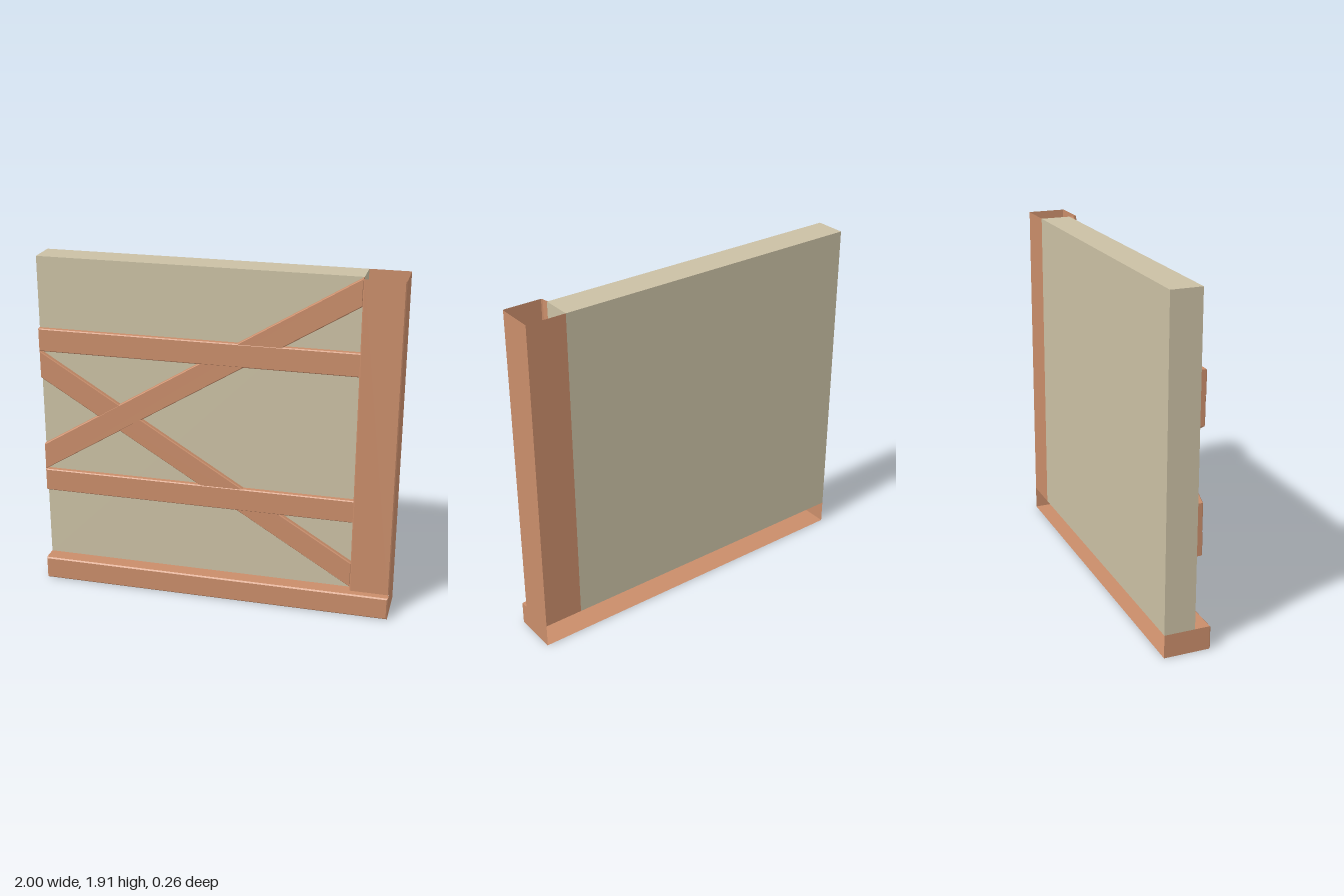
import * as THREE from 'three';

const timber = new THREE.MeshStandardMaterial({ color: 0xc98d6a, side: THREE.DoubleSide, flatShading: true });
const plaster = new THREE.MeshStandardMaterial({ color: 0xcac0a4, side: THREE.DoubleSide, flatShading: true });

const TOP = 1.91, SILL = 0.13, BACK = -0.13, WALL_FRONT = 0.04, POST_X = 0.78, POST_FRONT = 0.085;
const MIRROR_Y = 2.05; // the bracing is mirrored about y = MIRROR_Y / 2

function mesh(name, geometry, material) {
  const m = new THREE.Mesh(geometry, material);
  m.name = name;
  return m;
}

// Surface from a list of four-cornered faces
function quads(faces) {
  const pos = [];
  for (const [a, b, c, d] of faces) pos.push(...a, ...b, ...c, ...a, ...c, ...d);
  const g = new THREE.BufferGeometry();
  g.setAttribute('position', new THREE.Float32BufferAttribute(pos, 3));
  g.computeVertexNormals();
  return g;
}

// Flat bar with a fine chamfer, cut to an outline in x and y
function bar(name, outline, front) {
  const c = 0.005;
  const shape = new THREE.Shape(outline.map(([x, y]) => new THREE.Vector2(x, y)));
  const g = new THREE.ExtrudeGeometry(shape, {
    depth: front - WALL_FRONT - c, bevelEnabled: true, bevelSegments: 1,
    bevelThickness: c, bevelSize: c, bevelOffset: -c,
  });
  g.translate(0, 0, WALL_FRONT);
  return mesh(name, g, timber);
}

// Hollow post, open at top and bottom and towards the wall end
function post() {
  const c = 0.006;
  const path = [
    [POST_X, BACK], [1, BACK], [1, POST_FRONT - c], [1 - c, POST_FRONT],
    [POST_X + c, POST_FRONT], [POST_X, POST_FRONT - c], [POST_X, WALL_FRONT],
  ];
  const faces = [];
  for (let i = 0; i < path.length - 1; i++) {
    const [x0, z0] = path[i], [x1, z1] = path[i + 1];
    faces.push([[x0, SILL, z0], [x0, TOP, z0], [x1, TOP, z1], [x1, SILL, z1]]);
  }
  return mesh('cornerPost', quads(faces), timber);
}

// Sill: a trough open at the back, with a chamfered front face
function sill() {
  const c = 0.007, f = 0.13;
  const ring = (z, i) => [[-1 + i, i, z], [1 - i, i, z], [1 - i, SILL - i, z], [-1 + i, SILL - i, z]];
  const back = ring(BACK, 0), edge = ring(f - c, 0), face = ring(f, c);
  const faces = [face];
  for (let i = 0; i < 4; i++) {
    const j = (i + 1) % 4;
    if (i !== 2) faces.push([back[i], back[j], edge[j], edge[i]]);
    faces.push([edge[i], edge[j], face[j], face[i]]);
  }
  // Top ledge in front of the wall and in front of the post
  for (const [x0, x1, z] of [[-1, POST_X, WALL_FRONT], [POST_X, 1, POST_FRONT]]) {
    faces.push([[x0, SILL, f - c], [x1, SILL, f - c], [x1, SILL, z], [x0, SILL, z]]);
  }
  return mesh('sill', quads(faces), timber);
}

export function createModel() {
  const group = new THREE.Group();
  group.name = 'timberFrameWall';

  const panel = mesh('wallPanel',
    new THREE.BoxGeometry(1 + POST_X, TOP - SILL, WALL_FRONT - BACK), plaster);
  panel.position.set((POST_X - 1) / 2, (TOP + SILL) / 2, (WALL_FRONT + BACK) / 2);
  group.add(panel, post(), sill());

  // Rails and crossing braces, each with its mirror image
  const rail = [[-1, 1.38], [0.89, 1.38], [0.89, 1.51], [-1, 1.51]];
  const brace = [[-1, 0.67], [POST_X, 1.76], [POST_X, TOP], [-1, 0.825]];
  const flip = (pts) => pts.map(([x, y]) => [x, MIRROR_Y - y]).reverse();
  group.add(
    bar('upperRail', rail, 0.07), bar('lowerRail', flip(rail), 0.07),
    bar('risingBrace', brace, 0.068), bar('fallingBrace', flip(brace), 0.067),
  );
  return group;
}
